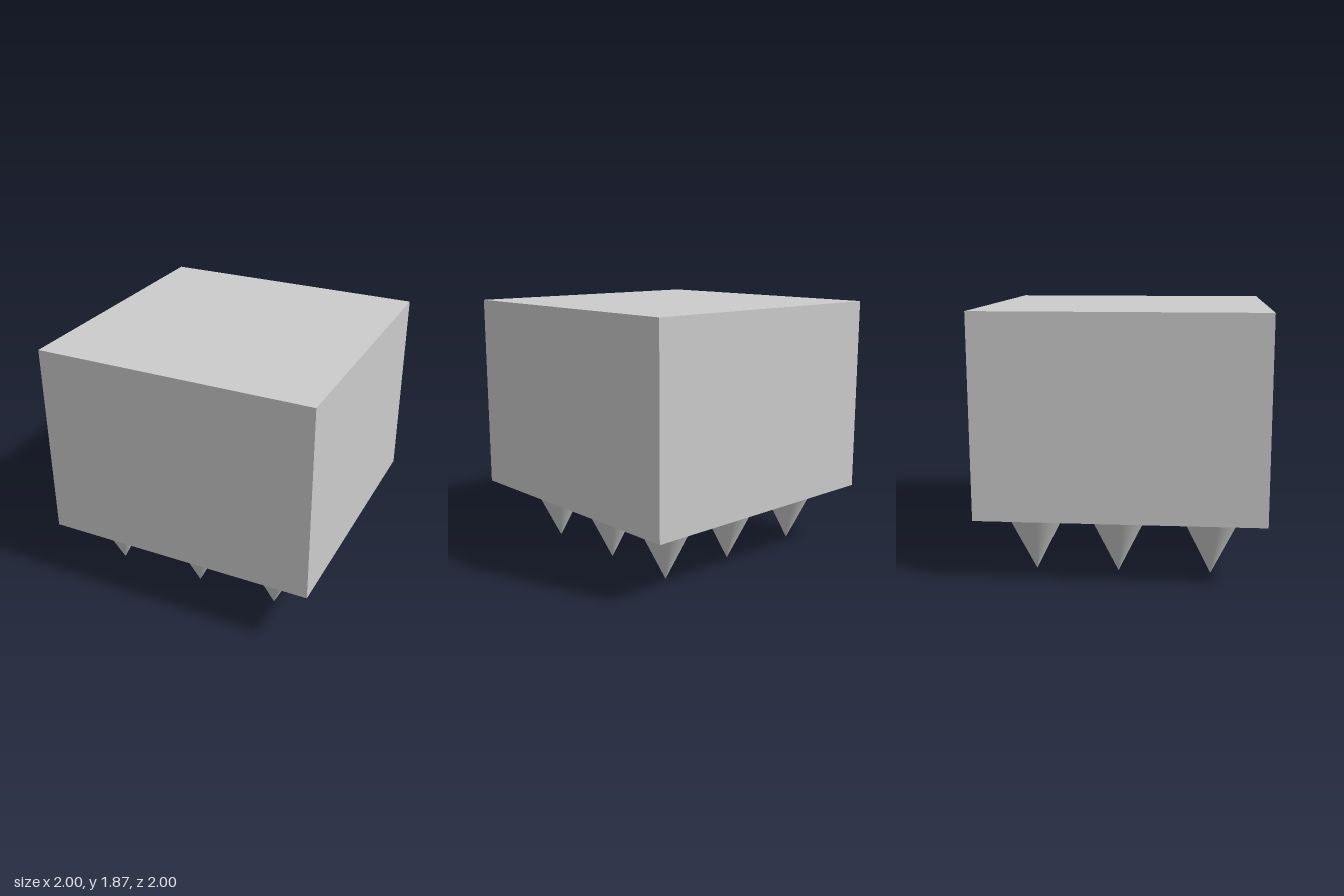
import * as THREE from 'three';

export function createModel() {
  const model = new THREE.Group();
  const material = new THREE.MeshStandardMaterial({ color: 0xcccccc });
  const bottom = 0.445, top = 1.865;

  // Solid block
  const block = new THREE.Mesh(new THREE.BoxGeometry(2, top - bottom, 2), material);
  block.name = 'block';
  block.position.y = (top + bottom) / 2;
  model.add(block);

  // Three by three grid of spikes pointing down
  const spikes = new THREE.Group();
  spikes.name = 'spikes';
  const spikeGeometry = new THREE.ConeGeometry(0.22, bottom, 32);
  spikeGeometry.rotateX(Math.PI);
  for (const x of [-0.68, -0.005, 0.61]) {
    for (const z of [-0.62, -0.03, 0.625]) {
      const spike = new THREE.Mesh(spikeGeometry, material);
      spike.name = 'spike';
      spike.position.set(x, bottom / 2, z);
      spikes.add(spike);
    }
  }
  model.add(spikes);

  return model;
}
